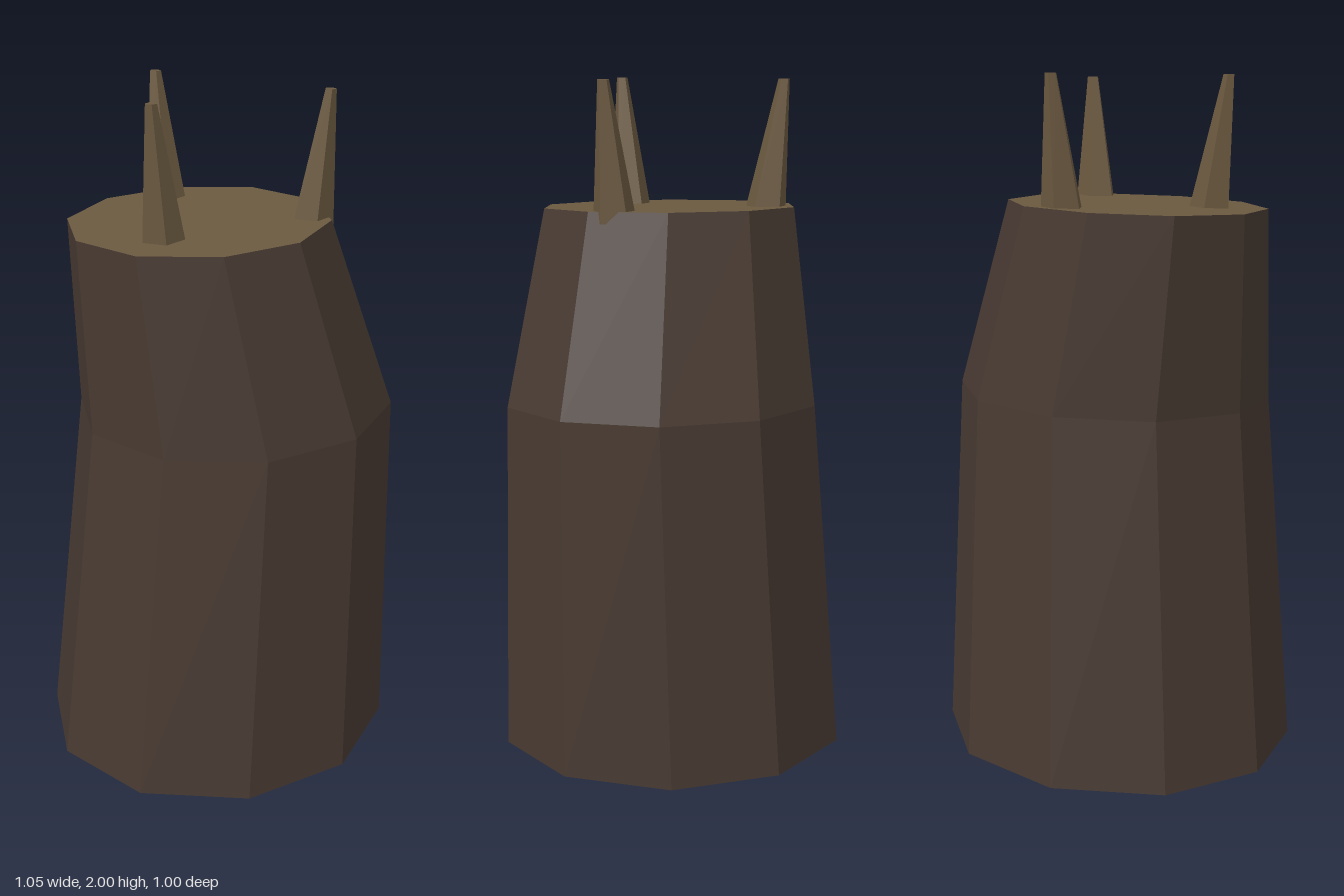
import * as THREE from 'three';

// Ring of n points: centre, radius, and slopes of its plane along x and z
function ring(n, cx, cy, cz, r, slopeX = 0, slopeZ = 0) {
  return Array.from({ length: n }, (_, i) => {
    const a = (i / n) * Math.PI * 2;
    const x = cx + r * Math.cos(a), z = cz + r * Math.sin(a);
    return [x, cy + slopeX * x + slopeZ * z, z];
  });
}

function mesh(name, points, material) {
  const geometry = new THREE.BufferGeometry();
  geometry.setAttribute('position', new THREE.Float32BufferAttribute(points.flat(), 3));
  geometry.computeVertexNormals();
  const m = new THREE.Mesh(geometry, material);
  m.name = name;
  return m;
}

// Faceted wall joining a stack of rings, lowest first
function wall(rings) {
  const out = [];
  for (let k = 0; k + 1 < rings.length; k++) {
    const lo = rings[k], hi = rings[k + 1], n = lo.length;
    for (let i = 0; i < n; i++) {
      const j = (i + 1) % n;
      out.push(lo[i], hi[i], lo[j], hi[i], hi[j], lo[j]);
    }
  }
  return out;
}

// Flat cap over one ring
function cap(points, up) {
  const out = [];
  for (let i = 1; i + 1 < points.length; i++) {
    out.push(points[0], ...(up ? [points[i + 1], points[i]] : [points[i], points[i + 1]]));
  }
  return out;
}

export function createModel() {
  const group = new THREE.Group();
  group.name = 'brokenStump';
  const bark = new THREE.MeshStandardMaterial({ color: 0x483a32, flatShading: true });
  bark.name = 'bark';
  const wood = new THREE.MeshStandardMaterial({ color: 0x6b5940, flatShading: true });
  wood.name = 'wood';

  // Bent ten-sided trunk with slightly tilted ends
  const trunk = [
    ring(10, 0, 0.024, 0, 0.525, 0.028, -0.032),
    ring(10, 0.055, 1.07, 0, 0.465, 0.03, -0.03),
    ring(10, -0.045, 1.634, 0.045, 0.379, 0.026, -0.026),
  ];
  group.add(mesh('trunkBark', wall(trunk), bark));
  group.add(mesh('trunkTop', cap(trunk[2], true), wood));
  group.add(mesh('trunkBottom', cap(trunk[0], false), wood));

  // Leaning splinters: base x, z and tip x, z
  const splinters = [
    [-0.178, -0.206, -0.21, -0.245],
    [-0.114, 0.244, -0.135, 0.29],
    [0.272, 0, 0.318, 0],
  ];
  splinters.forEach(([bx, bz, tx, tz], i) => {
    const base = ring(5, bx, 1.61, bz, 0.064);
    const tip = ring(5, tx, 2, tz, 0.017);
    const points = [...wall([base, tip]), ...cap(tip, true), ...cap(base, false)];
    group.add(mesh('splinter' + (i + 1), points, wood));
  });
  return group;
}
